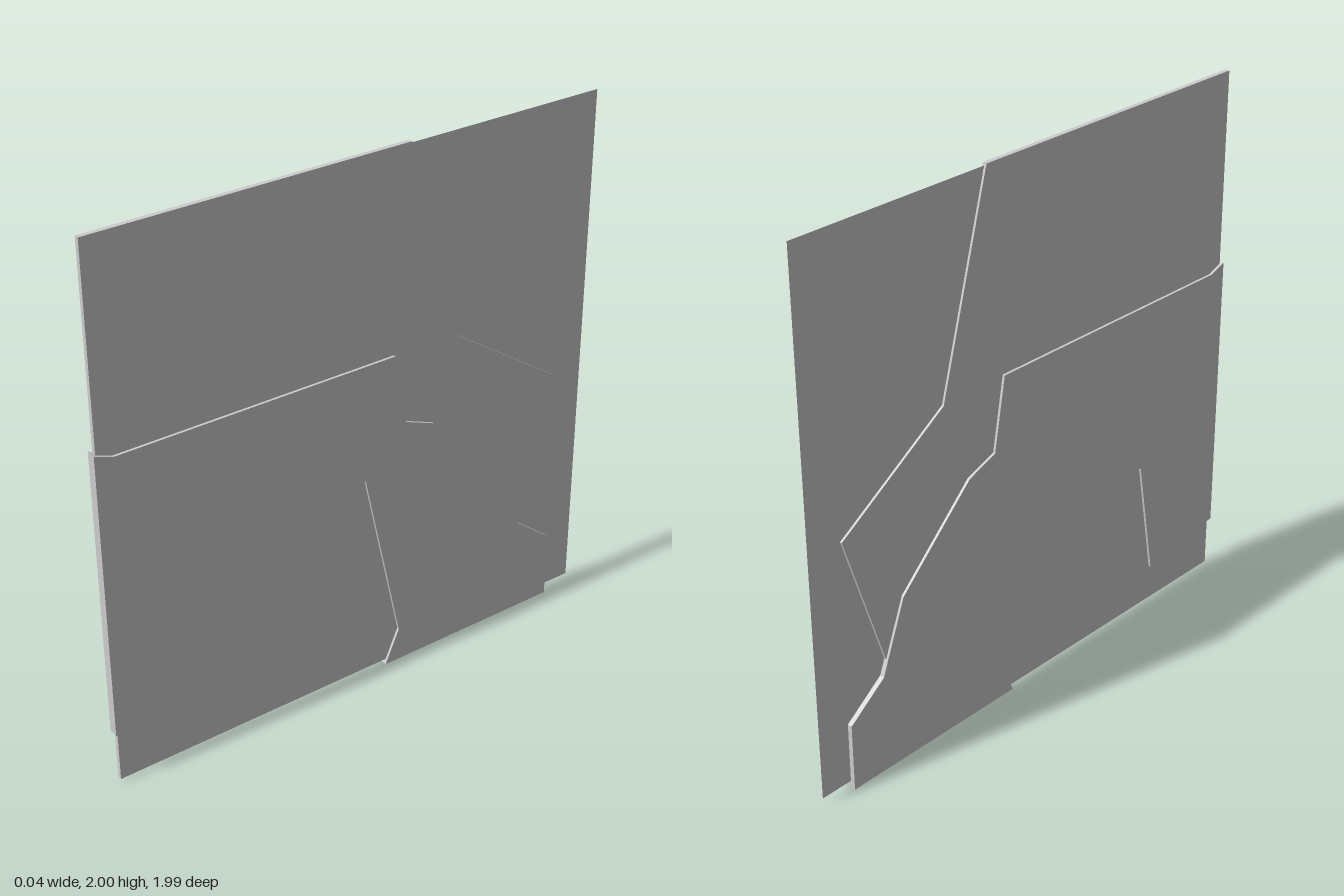
import * as THREE from 'three';

const material = new THREE.MeshStandardMaterial({ color: 0xcccccc, side: THREE.DoubleSide });

// Flat slab cut from a [z, y] outline, centred on x = 0
function slab(name, thickness, outline) {
  const shape = new THREE.Shape(outline.map(([z, y]) => new THREE.Vector2(-z, y)));
  const geometry = new THREE.ExtrudeGeometry(shape, { depth: thickness, bevelEnabled: false });
  geometry.translate(0, 0, -thickness / 2);
  geometry.rotateY(Math.PI / 2);
  const mesh = new THREE.Mesh(geometry, material);
  mesh.name = name;
  return mesh;
}

export function createModel() {
  const group = new THREE.Group();
  group.name = 'layeredPanel';
  const mid = 0.017, outer = 0.036;

  // Paper-thin backing sheet in the middle
  const sheet = new THREE.Mesh(new THREE.PlaneGeometry(1.975, 1.962), material);
  sheet.name = 'backingSheet';
  sheet.rotation.y = Math.PI / 2;
  sheet.position.set(0, 1.011, -0.005);
  group.add(sheet);

  // Middle layer, showing on both sides of the sheet
  group.add(slab('upperPanel', mid, [
    [0.987, 2], [0.987, 1.2], [-0.16, 1.2], [-0.41, 1.25], [-0.205, 2],
  ]));
  group.add(slab('lowerPanel', mid, [
    [0.987, 1.2], [0.987, 0.018], [-0.5, 0.018], [-0.7, 0.4],
    [-0.86, 0.95], [-0.41, 1.25], [-0.16, 1.2],
  ].map(([z, y]) => (z === -0.7 ? [-0.695, 0.42] : [z, y]))));

  // Outer, thickest layer
  group.add(slab('body', outer, [
    [0.997, 1.285], [0.997, 1.0], [0.565, 0.615], [-0.02, 0.82], [-0.17, 0.135],
    [-0.72, 0.375], [-0.62, 0.64], [-0.31, 0.945], [-0.19, 0.992], [-0.142, 1.26], [0.93, 1.26],
  ]));
  group.add(slab('frontLeg', outer, [
    [0.997, 1.0], [0.997, 0.213], [0.64, 0.16], [0.565, 0.615],
  ]));
  group.add(slab('rearLeg', outer, [
    [-0.17, 0.135], [-0.112, 0.003], [-0.869, 0.003], [-0.869, 0.26], [-0.72, 0.375],
  ]));
  return group;
}
